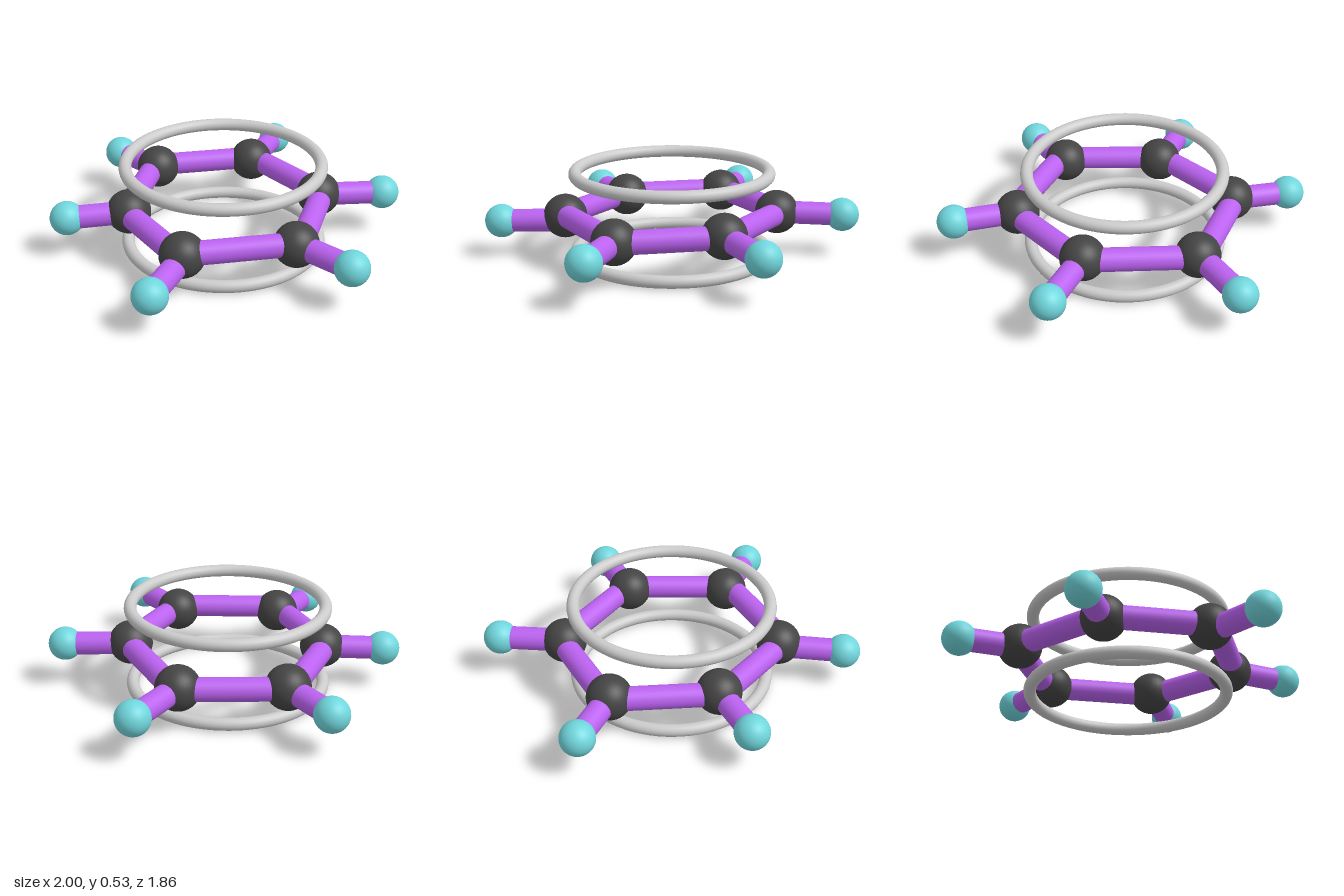
import * as THREE from 'three';

const material = (color) => new THREE.MeshStandardMaterial({ color });
const V = (p) => new THREE.Vector3(...p);

export function createModel() {
  const group = new THREE.Group();
  const innerMat = material(0x444444);
  const outerMat = material(0x70d6dc);
  const bondMat = material(0xbb62f0);
  const ringMat = material(0xcccccc);

  const add = (name, geometry, mat, position) => {
    const mesh = new THREE.Mesh(geometry, mat);
    mesh.name = name;
    mesh.position.copy(position);
    group.add(mesh);
    return mesh;
  };

  // Round rod between two points
  const bond = (name, a, b) => {
    const dir = b.clone().sub(a);
    const rod = add(name, new THREE.CylinderGeometry(0.065, 0.065, dir.length(), 32),
      bondMat, a.clone().add(b).multiplyScalar(0.5));
    rod.quaternion.setFromUnitVectors(new THREE.Vector3(0, 1, 0), dir.normalize());
  };

  // Six inner atoms, each with the outer atom attached to it
  const atoms = [
    [[0.525, 0.265, 0.02], [0.9, 0.25, 0.04]],
    [[0.27, 0.25, 0.54], [0.49, 0.25, 0.825]],
    [[-0.335, 0.243, 0.527], [-0.54, 0.208, 0.83]],
    [[-0.56, 0.245, 0.005], [-0.905, 0.23, -0.005]],
    [[-0.33, 0.25, -0.53], [-0.53, 0.235, -0.805]],
    [[0.245, 0.25, -0.53], [0.46, 0.24, -0.835]],
  ].map((pair) => pair.map(V));

  const innerGeo = new THREE.SphereGeometry(0.124, 32, 24);
  const outerGeo = new THREE.SphereGeometry(0.095, 32, 24);

  atoms.forEach(([inner, outer], i) => {
    add('innerAtom', innerGeo, innerMat, inner);
    add('outerAtom', outerGeo, outerMat, outer);
    const root = inner.clone();
    root.y = Math.min(inner.y, outer.y + 0.01);
    bond('outerBond', root, outer);

    // Ring bonds sit slightly outside the atom centres
    const next = atoms[(i + 1) % atoms.length][0];
    const shift = inner.clone().add(next).setY(0).normalize().multiplyScalar(0.022);
    shift.y = i === 1 ? 0.015 : 0;
    bond('ringBond', inner.clone().add(shift), next.clone().add(shift));
  });

  // Rings hovering above and below the atoms
  const ringGeo = new THREE.TorusGeometry(0.545, 0.035, 20, 80).rotateX(Math.PI / 2);
  add('upperRing', ringGeo, ringMat, V([-0.025, 0.495, 0.008]));
  add('lowerRing', ringGeo, ringMat, V([-0.025, 0.036, 0.008]));

  return group;
}
